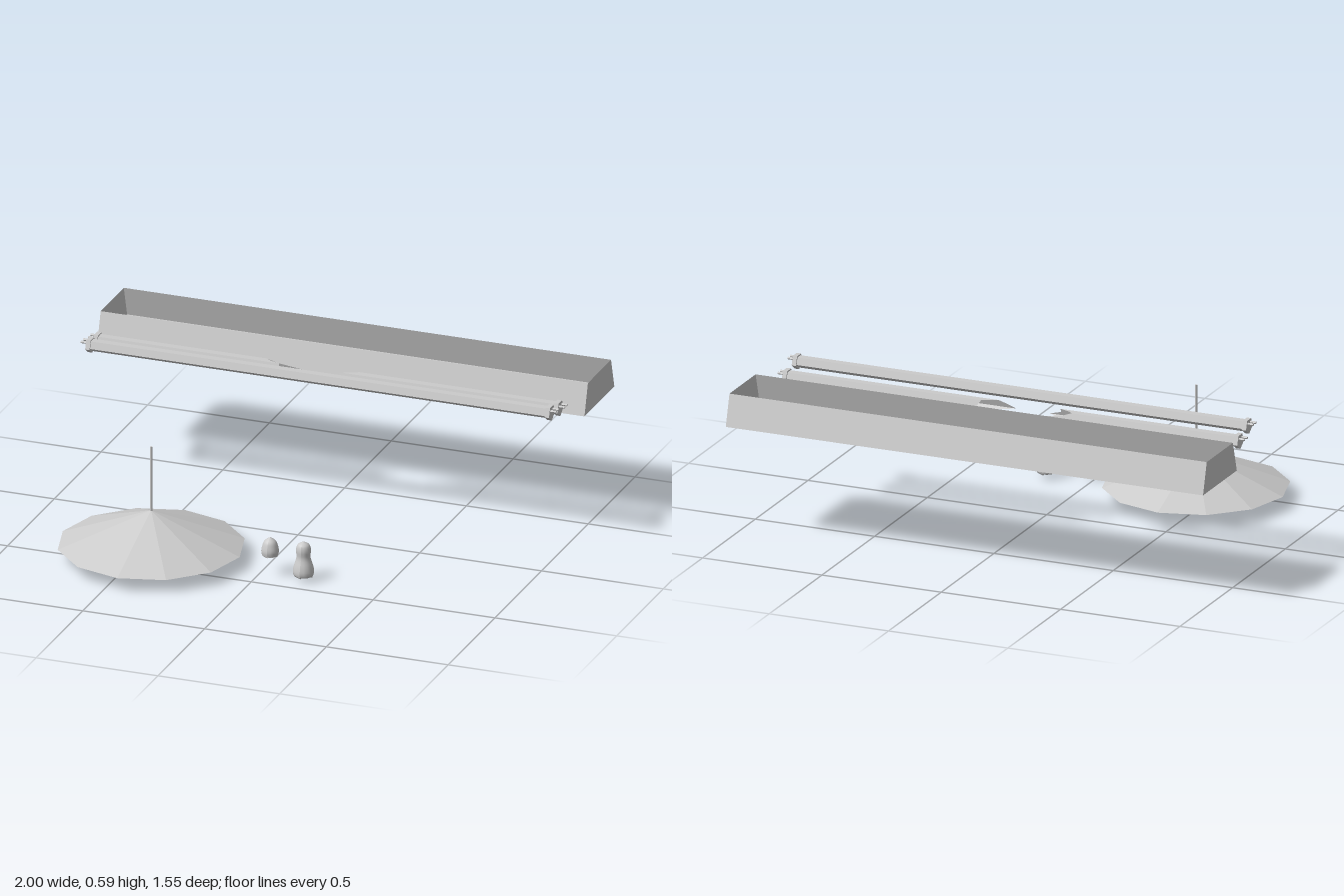
import * as THREE from 'three';

const grey = new THREE.MeshStandardMaterial({ color: 0xcccccc, side: THREE.DoubleSide });
const flat = new THREE.MeshStandardMaterial({ color: 0xcccccc, side: THREE.DoubleSide, flatShading: true });

function add(parent, name, geometry, material, x = 0, y = 0, z = 0) {
  const mesh = new THREE.Mesh(geometry, material);
  mesh.name = name;
  mesh.position.set(x, y, z);
  parent.add(mesh);
  return mesh;
}

function group(parent, name, x, y, z) {
  const g = new THREE.Group();
  g.name = name;
  g.position.set(x, y, z);
  parent.add(g);
  return g;
}

// Quads given as corner lists, split into flat triangles
function quads(list) {
  const pos = [];
  for (const [a, b, c, d] of list) pos.push(...a, ...b, ...c, ...a, ...c, ...d);
  const g = new THREE.BufferGeometry();
  g.setAttribute('position', new THREE.Float32BufferAttribute(pos, 3));
  g.computeVertexNormals();
  return g;
}

// Pentagon with its point down; k counts corners, halves are edge midpoints
function pentagonPoint(r, k) {
  const corner = (i) => {
    const a = -Math.PI / 2 + (i * 2 * Math.PI) / 5;
    return new THREE.Vector2(r * Math.cos(a), r * Math.sin(a));
  };
  return corner(Math.floor(k)).lerp(corner(Math.floor(k) + 1), k % 1);
}

function pentagonBar(r, x0, x1) {
  const shape = new THREE.Shape([0, 1, 2, 3, 4].map((k) => pentagonPoint(r, k)));
  const g = new THREE.ExtrudeGeometry(shape, { depth: x1 - x0, bevelEnabled: false });
  return g.rotateY(Math.PI / 2).translate(x0, 0, 0);
}

// End cap with two contact pins; side is the direction it faces
function endCap(parent, x, side) {
  const cap = group(parent, 'endCap', x, 0, 0);
  add(cap, 'capBody', pentagonBar(0.032, -0.009, 0.009), flat);
  for (const z of [-0.013, 0.013]) {
    const pin = new THREE.CylinderGeometry(0.005, 0.005, 0.025, 6).rotateZ(Math.PI / 2);
    add(cap, 'pin', pin, flat, side * 0.02, 0.012, z);
  }
}

// Hollow glass from x0 to a jagged end; ends start at the bottom and go towards +z
function brokenGlass(x0, ends) {
  const list = [];
  const at = (x, i) => {
    const p = pentagonPoint(0.025, (i % 10) / 2);
    return [x, p.y, p.x];
  };
  for (let i = 0; i < 10; i++) {
    const face = [at(x0, i), at(x0, i + 1), at(ends[(i + 1) % 10], i + 1), at(ends[i], i)];
    list.push(x0 < 0 ? face.reverse() : face);
  }
  return quads(list);
}

// Turned bulb; a jag depth breaks the lower rim
function bulb(profile, jag = 0) {
  const segs = 16;
  const curve = new THREE.SplineCurve(profile.map(([r, y]) => new THREE.Vector2(r, y)));
  const pts = curve.getPoints(18);
  pts.forEach((p) => { p.x = Math.max(p.x, 0); });
  const g = new THREE.LatheGeometry(pts, segs);
  const pos = g.attributes.position;
  if (jag) {
    for (let s = 0; s <= segs; s++) {
      const i = s * pts.length;
      pos.setY(i, pos.getY(i) + (s % 2 ? jag : 0.3 * jag * (s % 4 ? 1 : 0)));
    }
    g.computeVertexNormals();
  }
  return g;
}

export function createModel() {
  const model = new THREE.Group();
  model.name = 'lightFixtures';

  // Open-topped housing, wider at the floor
  const lo = 0.462, hi = 0.586;
  const ring = (y, z0, z1) => [[-1, y, z1], [1, y, z1], [1, y, z0], [-1, y, z0]];
  const base = ring(lo, -0.78, -0.46);
  const rim = ring(hi, -0.745, -0.497);
  const walls = [0, 1, 2, 3].map((i) => {
    const j = (i + 1) % 4;
    return [base[i], base[j], rim[j], rim[i]];
  });
  add(model, 'housing', quads([...walls, [...base].reverse()]), flat);

  // Whole fluorescent tube
  const whole = group(model, 'wholeTube', 0.004, 0.562, -0.225);
  add(whole, 'glass', pentagonBar(0.025, -0.94, 0.94), flat);
  endCap(whole, -0.943, -1);
  endCap(whole, 0.943, 1);

  // Broken fluorescent tube in two pieces
  const broken = group(model, 'brokenTube', 0, 0.537, -0.335);
  add(broken, 'leftGlass', brokenGlass(-0.95,
    [-0.25, -0.21, -0.18, -0.15, -0.2, -0.24, -0.26, -0.22, -0.19, -0.12].map((x, i, a) =>
      // the tallest shard sits on the back corner
      i === 8 ? a[9] : i === 9 ? -0.18 : i === 2 ? -0.15 : i === 3 ? -0.2 : x)), flat);
  add(broken, 'rightGlass', brokenGlass(0.94,
    [0.09, 0.06, -0.01, 0.02, 0.06, 0.09, 0.12, 0.13, 0.14, 0.12]), flat);
  endCap(broken, -0.951, -1);
  endCap(broken, 0.94, 1);

  // Hanging lamp: shade, rod and bulb
  const lamp = group(model, 'hangingLamp', -0.445, 0, 0.41);
  add(lamp, 'shade', new THREE.ConeGeometry(0.363, 0.141, 12, 1, true), flat, 0, 0.1255, 0);
  add(lamp, 'rod', new THREE.CylinderGeometry(0.005, 0.005, 0.27, 8), grey, 0, 0.325, 0);
  add(lamp, 'bulb', bulb([[0, 0], [0.026, 0.009], [0.041, 0.035], [0.037, 0.062],
    [0.027, 0.095], [0.029, 0.125], [0.022, 0.148], [0, 0.16]]), grey);
  add(lamp, 'socket', new THREE.CylinderGeometry(0.018, 0.022, 0.045, 12), grey, 0, 0.165, 0);

  // Bulb with its end broken off
  add(model, 'brokenBulb', bulb([[0.036, 0.016], [0.041, 0.035], [0.037, 0.062],
    [0.027, 0.095], [0.029, 0.125], [0.022, 0.148], [0, 0.158]], 0.014), grey, 0.18, 0, 0.41);

  // Shattered bulb, only the upper part left
  add(model, 'shatteredBulb', bulb([[0.03, 0.08], [0.034, 0.1], [0.031, 0.12],
    [0.022, 0.142], [0, 0.158]], 0.02), grey, 0.043, 0, 0.41);

  return model;
}
